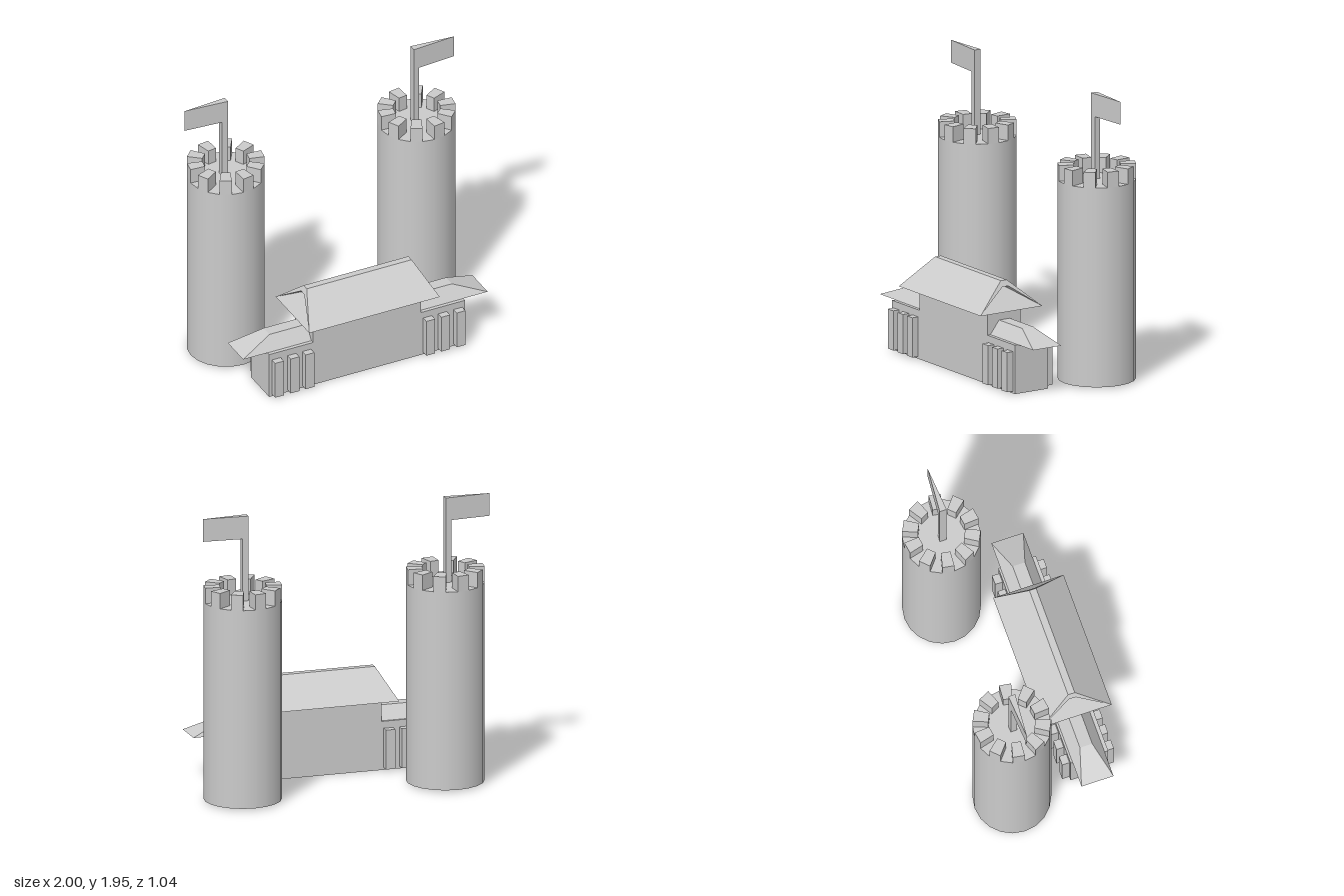
import * as THREE from 'three';

const material = new THREE.MeshStandardMaterial({ color: 0xcccccc });
const roofMaterial = new THREE.MeshStandardMaterial({ color: 0xcccccc, side: THREE.DoubleSide });

function add(parent, name, geometry, mat = material) {
  const mesh = new THREE.Mesh(geometry, mat);
  mesh.name = name;
  parent.add(mesh);
  return mesh;
}

// Box given by its extents
function block(parent, name, x0, x1, y0, y1, z0, z1) {
  const mesh = add(parent, name, new THREE.BoxGeometry(x1 - x0, y1 - y0, z1 - z0));
  mesh.position.set((x0 + x1) / 2, (y0 + y1) / 2, (z0 + z1) / 2);
}

// Flat-shaded geometry from a list of convex polygons
function facets(polygons) {
  const pos = [];
  for (const p of polygons)
    for (let i = 1; i < p.length - 1; i++)
      for (const v of [p[0], p[i], p[i + 1]]) pos.push(v.x, v.y, v.z);
  const g = new THREE.BufferGeometry();
  g.setAttribute('position', new THREE.Float32BufferAttribute(pos, 3));
  g.computeVertexNormals();
  return g;
}

// Plan outline [x, z] raised into a prism
function prism(plan, height) {
  const shape = new THREE.Shape(plan.map(([x, z]) => new THREE.Vector2(x, -z)));
  return new THREE.ExtrudeGeometry(shape, { depth: height, bevelEnabled: false }).rotateX(-Math.PI / 2);
}

const rect = (x0, x1, z0, z1, y) =>
  [[x0, z0], [x1, z0], [x1, z1], [x0, z1]].map(([x, z]) => new THREE.Vector3(x, y, z));

// Sloped end of the main roof with a shallow sunken gable panel
function recessedEnd(p, q, tq, tp, s) {
  const rim = (b, t) => {
    const v = b.clone().lerp(t, 0.8);
    v.z = t.z;
    return v;
  };
  const ap = rim(p, tp), aq = rim(q, tq);
  const inset = new THREE.Vector3(-0.04 * s, -0.012, 0);
  const ip = ap.clone().add(inset), iq = aq.clone().add(inset);
  return [
    [q, tq, aq], [tq, tp, ap, aq], [tp, p, ap],
    [q, aq, iq], [aq, ap, ip, iq], [ap, p, ip],
    [p, q, iq, ip],
  ];
}

// Roof lofted from an eaves rectangle to a narrow flat ridge
function roof(b, t, recessed) {
  const faces = [
    [t[3], t[2], t[1], t[0]], [b[0], b[1], b[2], b[3]],
    [b[3], b[2], t[2], t[3]], [b[1], b[0], t[0], t[1]],
  ];
  if (recessed)
    faces.push(...recessedEnd(b[2], b[1], t[1], t[2], 1), ...recessedEnd(b[0], b[3], t[3], t[0], -1));
  else faces.push([b[2], b[1], t[1], t[2]], [b[0], b[3], t[3], t[0]]);
  return facets(faces);
}

// Round tower with ten merlons and a flag; side is the direction the flag flies
function makeTower(name, x, side, poleEdge) {
  const R = 0.26, floor = 1.37, sides = 20;
  const tower = new THREE.Group();
  tower.name = name;
  tower.position.set(x, 0, -0.26);
  add(tower, 'towerWall', new THREE.CylinderGeometry(R, R, floor - 0.012, sides)).position.y = (floor + 0.012) / 2;

  const step = (Math.PI * 2) / sides;
  for (let i = 0; i < sides; i += 2) {
    const a = i * step, m = a + step / 2;
    const at = (r, ang) => [r * Math.sin(ang), r * Math.cos(ang)];
    const inner = 0.2; // half angle of the inner edge
    const plan = [at(R, a), at(R, a + step), at(0.157, m + inner), at(0.157, m - inner)];
    add(tower, 'merlon', prism(plan, 0.105)).position.y = floor;
  }

  // Pole and flag share one wedge plan, thinning to the flag's tip
  const wedge = (length) => {
    const w = 0.024, e = w * (1 - length / 0.312);
    return [
      [poleEdge, -w], [poleEdge, w],
      [poleEdge + side * length, e], [poleEdge + side * length, -e],
    ];
  };
  add(tower, 'flagPole', prism(wedge(0.042), 1.795 - floor)).position.y = floor;
  add(tower, 'flag', prism(wedge(0.311), 0.155)).position.y = 1.795;
  return tower;
}

export function createModel() {
  const model = new THREE.Group();
  model.name = 'castle';
  model.add(makeTower('rightTower', -0.694, -1, 0.004), makeTower('leftTower', 0.718, 1, -0.033));

  // Hall with lower wings, centred slightly to the left
  const hall = new THREE.Group();
  hall.name = 'hall';
  hall.position.x = 0.014;
  model.add(hall);
  const zBack = 0.144, zFront = 0.407;
  block(hall, 'hallBody', -0.4, 0.4, 0, 0.495, zBack, zFront);
  add(hall, 'mainRoof', roof(
    rect(-0.483, 0.483, 0.024, 0.516, 0.495),
    rect(-0.388, 0.388, 0.244, 0.291, 0.685), true), roofMaterial);

  for (const s of [-1, 1]) {
    const span = (a, b) => (s > 0 ? [a, b] : [-b, -a]);
    block(hall, 'wing', ...span(0.4, 0.725), 0, 0.333, zBack, zFront);
    add(hall, 'wingRoof', roof(
      rect(...span(0.4, 0.905), 0.158, 0.382, 0.333),
      rect(...span(0.4, 0.675), 0.227, 0.313, 0.423), false), roofMaterial);
    // Pilasters on the front and back of each wing
    for (const x of [0.415, 0.525, 0.64]) {
      block(hall, 'frontPilaster', ...span(x, x + 0.064), 0.015, 0.285, zFront, 0.454);
      block(hall, 'backPilaster', ...span(x, x + 0.064), 0.015, 0.285, 0.093, zBack);
    }
  }
  return model;
}
